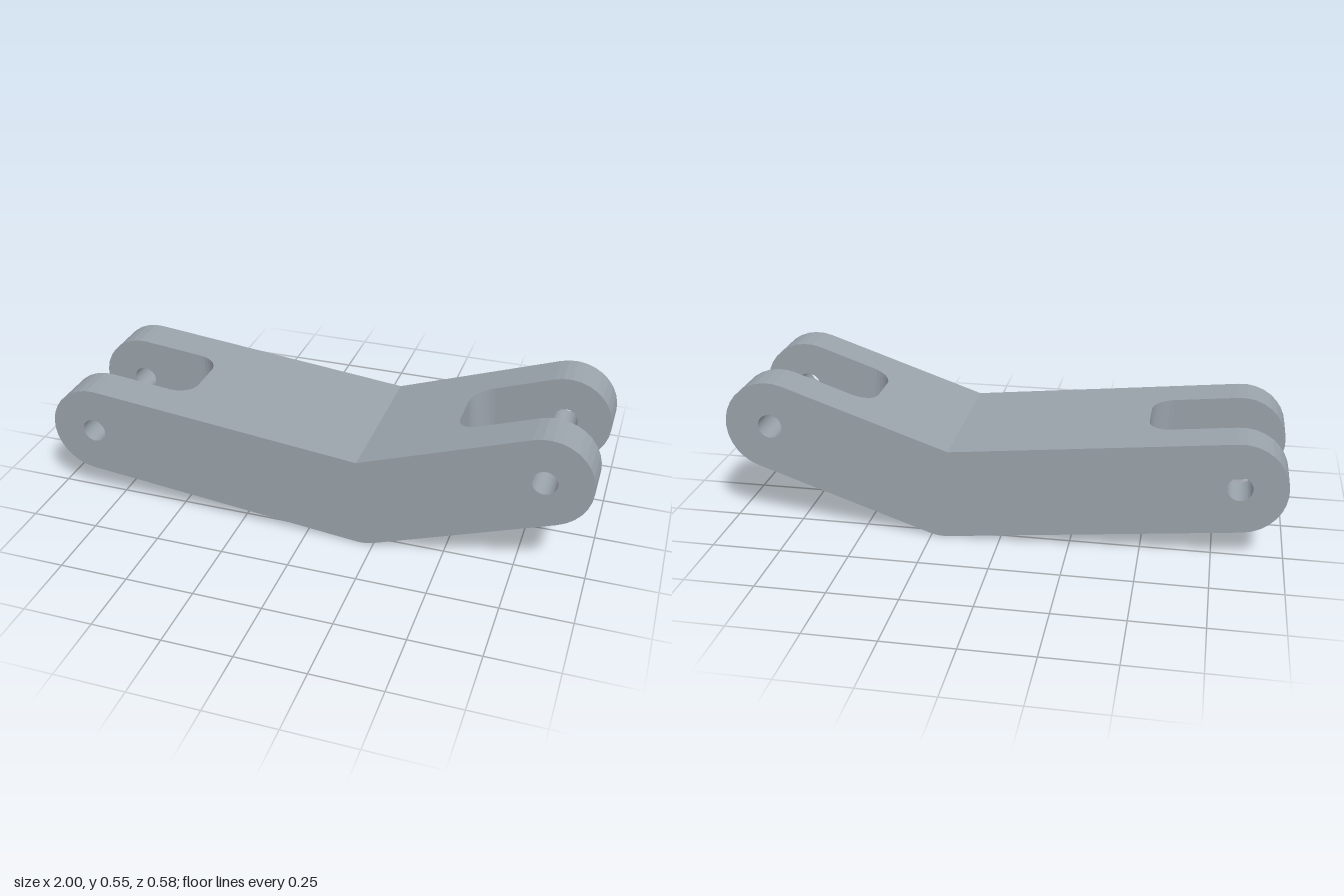
import * as THREE from 'three';

const R = 0.165;                 // arm half height and end radius
const PIVOT = 0.836;             // pivots sit at x = +-PIVOT, y = 0 in the link frame
const BEND = { x: 0.191, y: -0.177 };
const HALF_WIDTH = 0.292, SLOT_HALF = 0.1425;
const SLOT_END = 0.5, FILLET = 0.08, HOLE = 0.044;

// Slopes of the two arms
const aL = Math.atan2(BEND.y, BEND.x + PIVOT);
const aR = Math.atan2(-BEND.y, PIVOT - BEND.x);

// Sharp inner corner on top of the bend
const mid = (aL + aR) / 2, reach = R / Math.cos((aR - aL) / 2);
const bendTop = [BEND.x - Math.sin(mid) * reach, BEND.y + Math.cos(mid) * reach];

// Height of an arm's upper (+1) or lower (-1) face at x
function armY(x, side) {
  const a = x < BEND.x ? aL : aR;
  return BEND.y + (x - BEND.x) * Math.tan(a) + side * R / Math.cos(a);
}

// Full side outline with both pin holes
function sideOutline() {
  const q = Math.PI / 2;
  const s = new THREE.Shape();
  s.absarc(PIVOT, 0, R, aR - q, aR + q, false);
  s.lineTo(bendTop[0], bendTop[1]);
  s.absarc(-PIVOT, 0, R, aL + q, aL + 3 * q, false);
  s.absarc(BEND.x, BEND.y, R, aL - q, aR - q, false);
  s.closePath();
  for (const x of [-PIVOT, PIVOT]) {
    const hole = new THREE.Path();
    hole.absarc(x, 0, HOLE, 0, Math.PI, false);
    hole.absarc(x, 0, HOLE, Math.PI, 2 * Math.PI, false);
    s.holes.push(hole);
  }
  return s;
}

// One cross-section of the web, counterclockwise, ending at x = +-end
function webRing(end, z) {
  const ring = [[-end, armY(-end, -1), z]];
  for (let i = 0; i <= 8; i++) {
    const a = aL + (aR - aL) * i / 8;
    ring.push([BEND.x + Math.sin(a) * R, BEND.y - Math.cos(a) * R, z]);
  }
  ring.push([end, armY(end, -1), z], [end, armY(end, 1), z]);
  ring.push([...bendTop, z], [-end, armY(-end, 1), z]);
  return ring;
}

// Web between the cheeks, its ends filleted into them
function webGeometry() {
  const rings = [], N = 8;
  for (const side of [-1, 1]) {
    for (let i = 0; i <= N; i++) {
      const t = (side < 0 ? i : N - i) / N * Math.PI / 2;
      const end = SLOT_END + FILLET * (1 - Math.sin(t));
      rings.push(webRing(end, side * (SLOT_HALF - FILLET + FILLET * Math.cos(t))));
    }
  }
  const pos = [];
  for (let k = 0; k + 1 < rings.length; k++) {
    const a = rings[k], b = rings[k + 1];
    for (let i = 0; i < a.length; i++) {
      const j = (i + 1) % a.length;
      for (const p of [a[i], a[j], b[j], a[i], b[j], b[i]]) pos.push(...p);
    }
  }
  const g = new THREE.BufferGeometry();
  g.setAttribute('position', new THREE.Float32BufferAttribute(pos, 3));
  g.computeVertexNormals();
  return g;
}

export function createModel() {
  const steel = new THREE.MeshStandardMaterial({ color: 0x9aa3ab });
  steel.name = 'steel grey';

  const link = new THREE.Group();
  link.name = 'bentLink';

  // Two drilled cheeks
  const cheek = new THREE.ExtrudeGeometry(sideOutline(), {
    depth: HALF_WIDTH - SLOT_HALF, bevelEnabled: false, curveSegments: 8,
  });
  for (const [name, z] of [['frontCheek', SLOT_HALF], ['backCheek', -HALF_WIDTH]]) {
    const m = new THREE.Mesh(cheek, steel);
    m.name = name;
    m.position.z = z;
    link.add(m);
  }

  // Central web, leaving a fork slot at each end
  const web = new THREE.Mesh(webGeometry(), steel);
  web.name = 'centralWeb';
  link.add(web);

  // The line through the pivots rises towards +x
  link.rotation.z = 0.066;
  link.position.y = 0.33;

  const model = new THREE.Group();
  model.name = 'forkedLink';
  model.add(link);
  return model;
}
